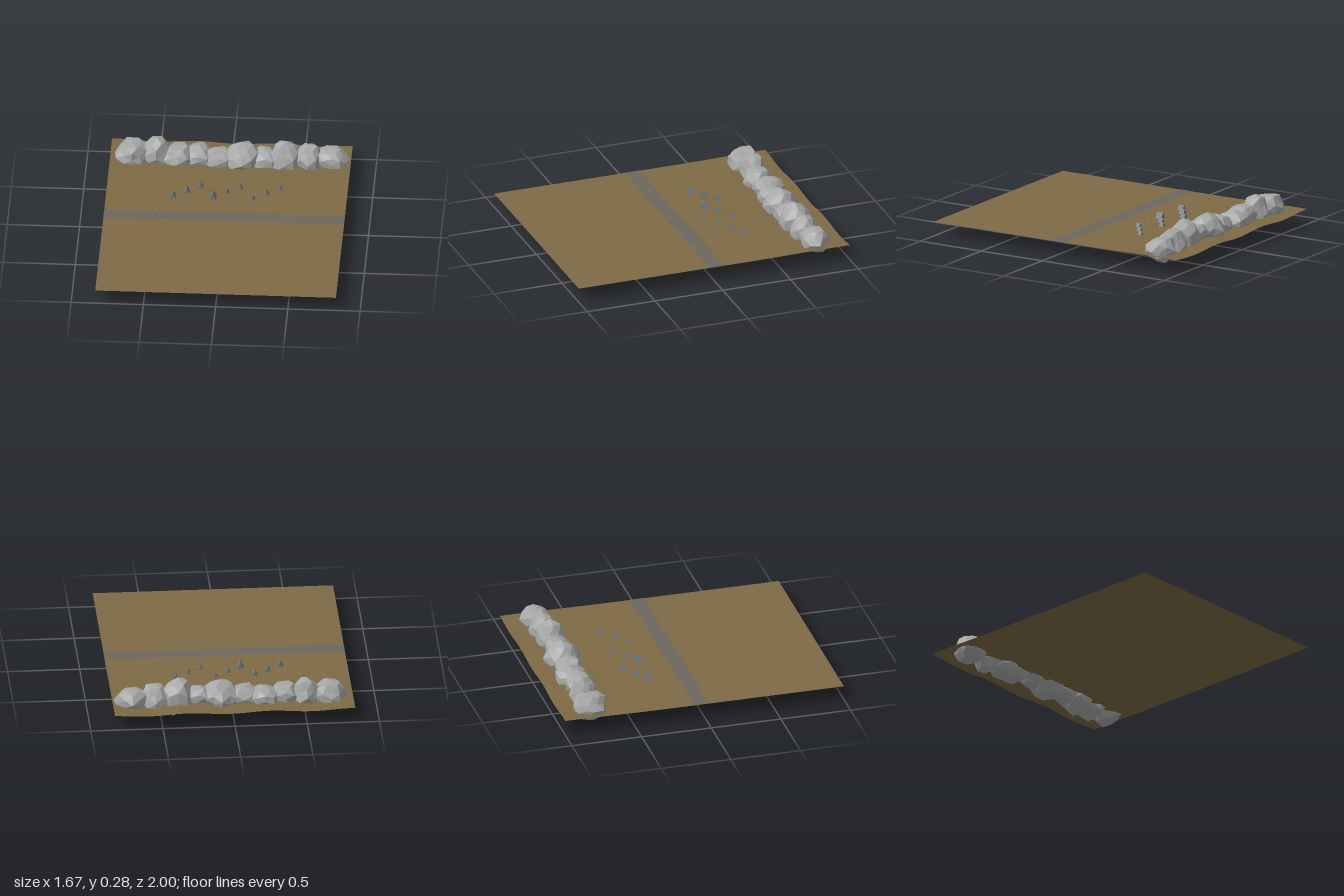
import * as THREE from 'three';

const GROUND_Y = 0.107;
const mat = (name, color, extra = {}) =>
  Object.assign(new THREE.MeshStandardMaterial({ color, ...extra }), { name });

// small seeded generator
function seeded(seed) {
  let s = seed;
  return () => (s = (s * 16807) % 2147483647) / 2147483647;
}

// flat in front, rippling towards the back edge
function groundHeight(x, z) {
  const ramp = THREE.MathUtils.clamp((-z - 0.3) / 0.6, 0, 1);
  return GROUND_Y + 0.007 * ramp * Math.sin(x * 11 + z * 2);
}

// faceted boulder: icosahedron with each corner pushed in or out
function boulderGeometry(rx, ry, rz, seed) {
  const geo = new THREE.IcosahedronGeometry(1, 1);
  const random = seeded(seed * 7919 + 13);
  const pushes = new Map();
  const pos = geo.attributes.position;
  const v = new THREE.Vector3();
  for (let i = 0; i < pos.count; i++) {
    v.fromBufferAttribute(pos, i);
    const key = v.toArray().map((n) => Math.round(n * 100)).join();
    if (!pushes.has(key)) pushes.set(key, 0.82 + random() * 0.26);
    v.multiplyScalar(pushes.get(key));
    pos.setXYZ(i, v.x * rx, v.y * ry, v.z * rz);
  }
  geo.computeVertexNormals();
  return geo;
}

export function createModel() {
  const model = new THREE.Group();
  model.name = 'campField';
  const earth = mat('earth brown', 0x7e6a45, { side: THREE.DoubleSide });
  const gravel = mat('road grey', 0x6c675e, { side: THREE.DoubleSide });
  const stone = mat('stone grey', 0xa6a8a7, { flatShading: true });
  const canvas = mat('tent slate', 0x6f7682, { flatShading: true });
  const pale = mat('pale pebble', 0xb5b0a0, { flatShading: true });
  const dark = mat('dark pebble', 0x4a4438, { flatShading: true });

  const add = (parent, name, geo, material, x = 0, y = 0, z = 0) => {
    const mesh = new THREE.Mesh(geo, material);
    mesh.name = name;
    mesh.position.set(x, y, z);
    parent.add(mesh);
    return mesh;
  };
  const group = (name) => {
    const g = new THREE.Group();
    g.name = name;
    model.add(g);
    return g;
  };

  // ground sheet
  const ground = new THREE.PlaneGeometry(1.666, 2, 40, 48).rotateX(-Math.PI / 2);
  const gp = ground.attributes.position;
  for (let i = 0; i < gp.count; i++) gp.setY(i, groundHeight(gp.getX(i), gp.getZ(i)));
  ground.computeVertexNormals();
  add(model, 'ground', ground, earth);

  // road strip across the field
  add(model, 'road', new THREE.PlaneGeometry(1.666, 0.105).rotateX(-Math.PI / 2),
    gravel, 0, GROUND_Y + 0.0015, -0.018);

  // boulder ridge: x, y, z, radii
  const ridge = group('boulderRidge');
  [
    [-0.68, 0.135, -0.78, 0.125, 0.1, 0.125],
    [-0.51, 0.14, -0.785, 0.105, 0.122, 0.1],
    [-0.36, 0.125, -0.77, 0.115, 0.1, 0.11],
    [-0.22, 0.13, -0.79, 0.12, 0.08, 0.12],
    [-0.08, 0.13, -0.76, 0.115, 0.08, 0.1],
    [0.08, 0.138, -0.77, 0.135, 0.115, 0.13],
    [0.24, 0.128, -0.76, 0.11, 0.09, 0.1],
    [0.38, 0.135, -0.765, 0.12, 0.135, 0.115],
    [0.54, 0.135, -0.775, 0.105, 0.118, 0.105],
    [0.7, 0.135, -0.785, 0.12, 0.1, 0.11],
  ].forEach(([x, y, z, rx, ry, rz], i) =>
    add(ridge, 'boulder', boulderGeometry(rx, ry, rz, i + 1), stone, x, y, z));

  // ridge tents in three staggered rows
  const tents = group('tents');
  [0.041, 0.041, 0.038, 0.05, 0.034, 0.03, 0.03, 0.032, 0.029].forEach((size, i) => {
    const w = size / 2;
    const gable = new THREE.Shape([
      new THREE.Vector2(-w, 0), new THREE.Vector2(w, 0), new THREE.Vector2(0, size * 0.87),
    ]);
    const geo = new THREE.ExtrudeGeometry(gable, { depth: size, bevelEnabled: false });
    geo.translate(0, 0, -size / 2);
    const x = (i - 4) * 0.0918;
    const z = -0.27 - (i % 3) * 0.066;
    add(tents, 'tent', geo, canvas, x, GROUND_Y + 0.002, z);
  });

  // scattered pebbles
  const pebbles = group('pebbles');
  const random = seeded(421);
  const pebble = new THREE.OctahedronGeometry(0.003);
  for (let i = 0; i < 44; i++) {
    const x = random() - 0.5;
    const z = -0.42 + random() * 0.62;
    add(pebbles, 'pebble', pebble, i % 3 ? pale : dark, x, GROUND_Y + 0.002, z);
  }
  return model;
}
